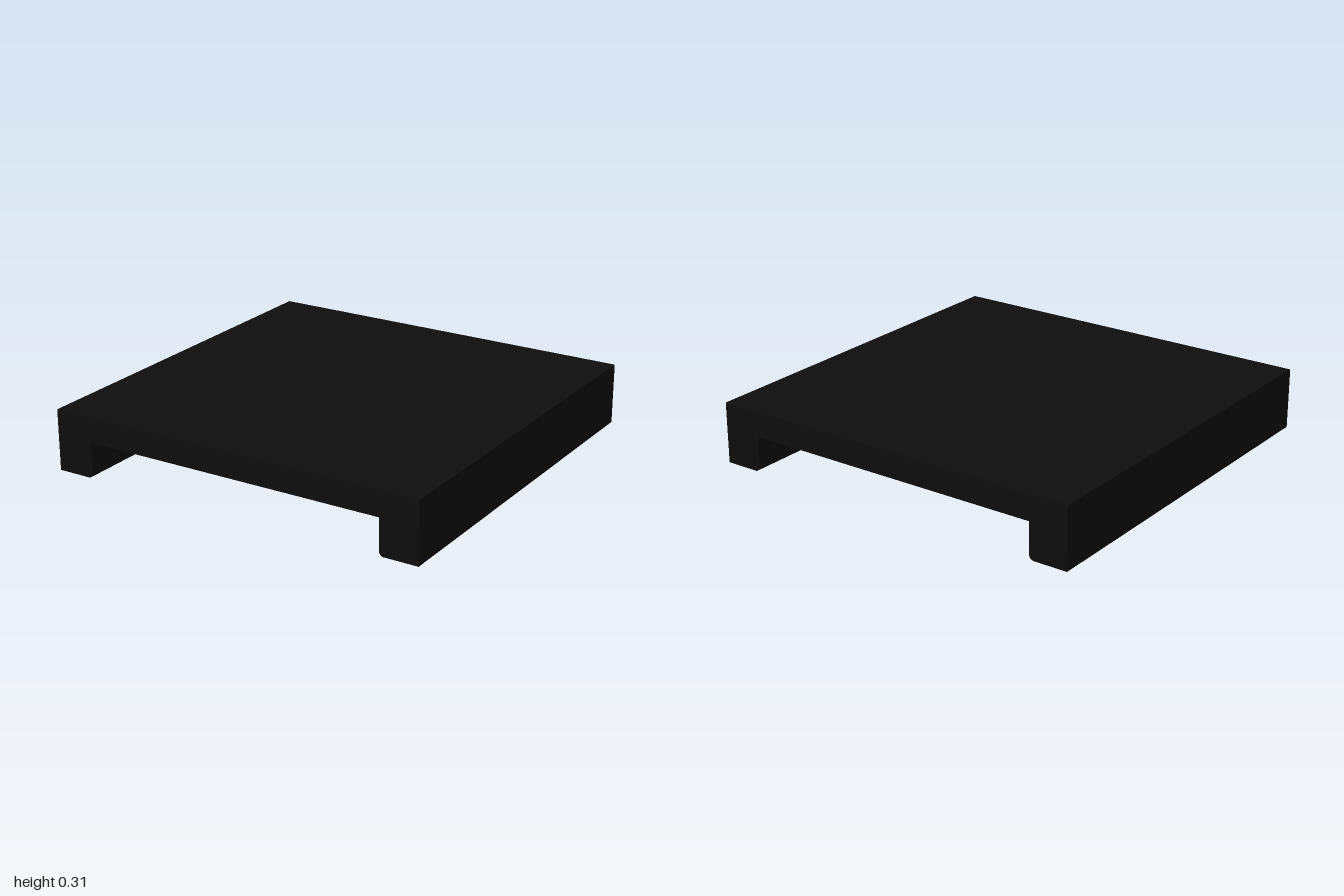
import * as THREE from 'three';

const HEIGHT = 0.315;  // overall height
const UNDER = 0.185;   // underside of the deck
const RIB_Y = 0.095;   // underside of the ribs
const INNER = 0.8;     // inner face of the side rails
const R = 0.025;       // rounding of the rails' inner lower edges

export function createModel() {
  const group = new THREE.Group();
  group.name = 'pallet';
  const material = new THREE.MeshStandardMaterial({ color: 0x0d0d0d });

  // Deck and both side rails: one channel profile, extruded front to back
  const profile = new THREE.Shape();
  profile.moveTo(-1, 0);
  profile.lineTo(-INNER - R, 0);
  profile.absarc(-INNER - R, R, R, -Math.PI / 2, 0, false);
  profile.lineTo(-INNER, UNDER);
  profile.lineTo(INNER, UNDER);
  profile.lineTo(INNER, R);
  profile.absarc(INNER + R, R, R, Math.PI, Math.PI * 1.5, false);
  profile.lineTo(1, 0);
  profile.lineTo(1, HEIGHT);
  profile.lineTo(-1, HEIGHT);
  profile.closePath();
  const deckGeometry = new THREE.ExtrudeGeometry(profile, { depth: 2, bevelEnabled: false, curveSegments: 6 });
  deckGeometry.translate(0, 0, -1);
  const deck = new THREE.Mesh(deckGeometry, material);
  deck.name = 'deckWithSideRails';
  group.add(deck);

  // Three cross ribs under the deck, as wide as the gaps between them
  const ribWidth = 2 / 7;
  const ribGeometry = new THREE.BoxGeometry(INNER * 2, UNDER - RIB_Y, ribWidth);
  for (let i = -1; i <= 1; i++) {
    const rib = new THREE.Mesh(ribGeometry, material);
    rib.name = 'crossRib';
    rib.position.set(0, (UNDER + RIB_Y) / 2, i * ribWidth * 2);
    group.add(rib);
  }
  return group;
}
